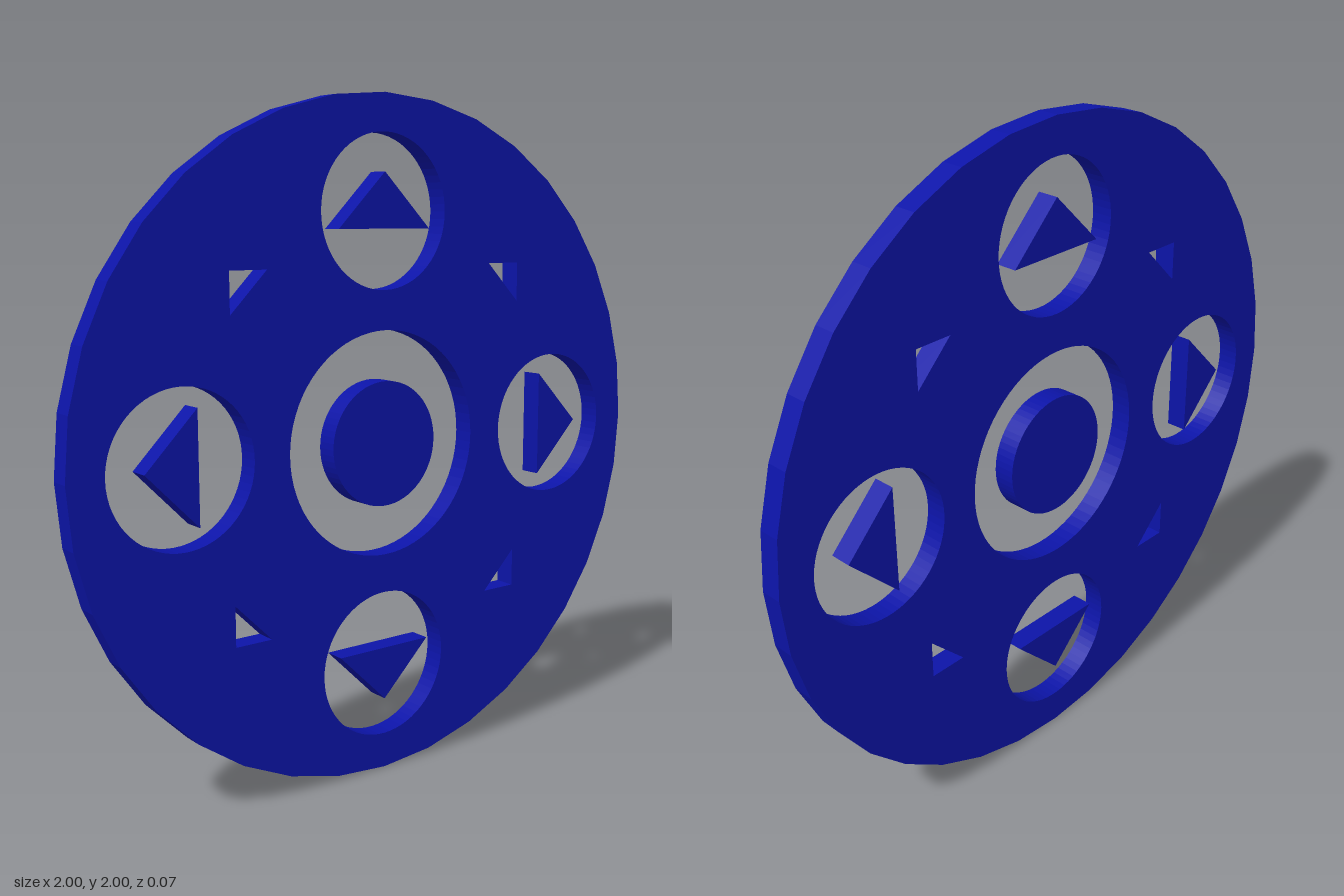
import * as THREE from 'three';

const DEPTH = 0.066;
const material = new THREE.MeshStandardMaterial({ color: 0x0c14a8 });

// Regular polygon with its first corner at the top
function polygon(radius, sides, cx = 0, cy = 0) {
  const points = [];
  for (let i = 0; i < sides; i++) {
    const a = Math.PI / 2 + (i / sides) * Math.PI * 2;
    points.push(new THREE.Vector2(cx + radius * Math.cos(a), cy + radius * Math.sin(a)));
  }
  return points;
}

// Flat plate of the common thickness, centred on z = 0
function plate(name, points, holes = []) {
  const shape = new THREE.Shape(points);
  shape.holes = holes.map((h) => new THREE.Path(h));
  const geometry = new THREE.ExtrudeGeometry(shape, { depth: DEPTH, bevelEnabled: false });
  geometry.translate(0, 0, -DEPTH / 2);
  const mesh = new THREE.Mesh(geometry, material);
  mesh.name = name;
  return mesh;
}

export function createModel() {
  const model = new THREE.Group();
  model.name = 'directionPad';

  // Holes: centre ring, four arrow windows and four corner notches
  const holes = [polygon(0.333, 72)];
  for (const [sx, sy] of [[1, 0], [0, 1], [-1, 0], [0, -1]]) {
    holes.push(polygon(0.222, 64, sx * 0.67, sy * 0.67));
  }
  for (const sx of [1, -1]) {
    for (const sy of [1, -1]) {
      holes.push([[0.518, 0.516], [0.4, 0.516], [0.518, 0.398]]
        .map(([x, y]) => new THREE.Vector2(sx * x, sy * y)));
    }
  }
  model.add(plate('baseDisc', polygon(1, 36), holes));

  // Round centre button
  model.add(plate('centreButton', polygon(0.185, 64)));

  // Arrows pointing outwards in their windows
  ['upArrow', 'rightArrow', 'downArrow', 'leftArrow'].forEach((name, i) => {
    const arrow = plate(name, [[-0.162, 0.622], [0.162, 0.622], [0, 0.782]]
      .map(([x, y]) => new THREE.Vector2(x, y)));
    arrow.rotation.z = (i * Math.PI) / 2;
    model.add(arrow);
  });

  model.children.forEach((part) => { part.position.y = 1; });
  return model;
}
